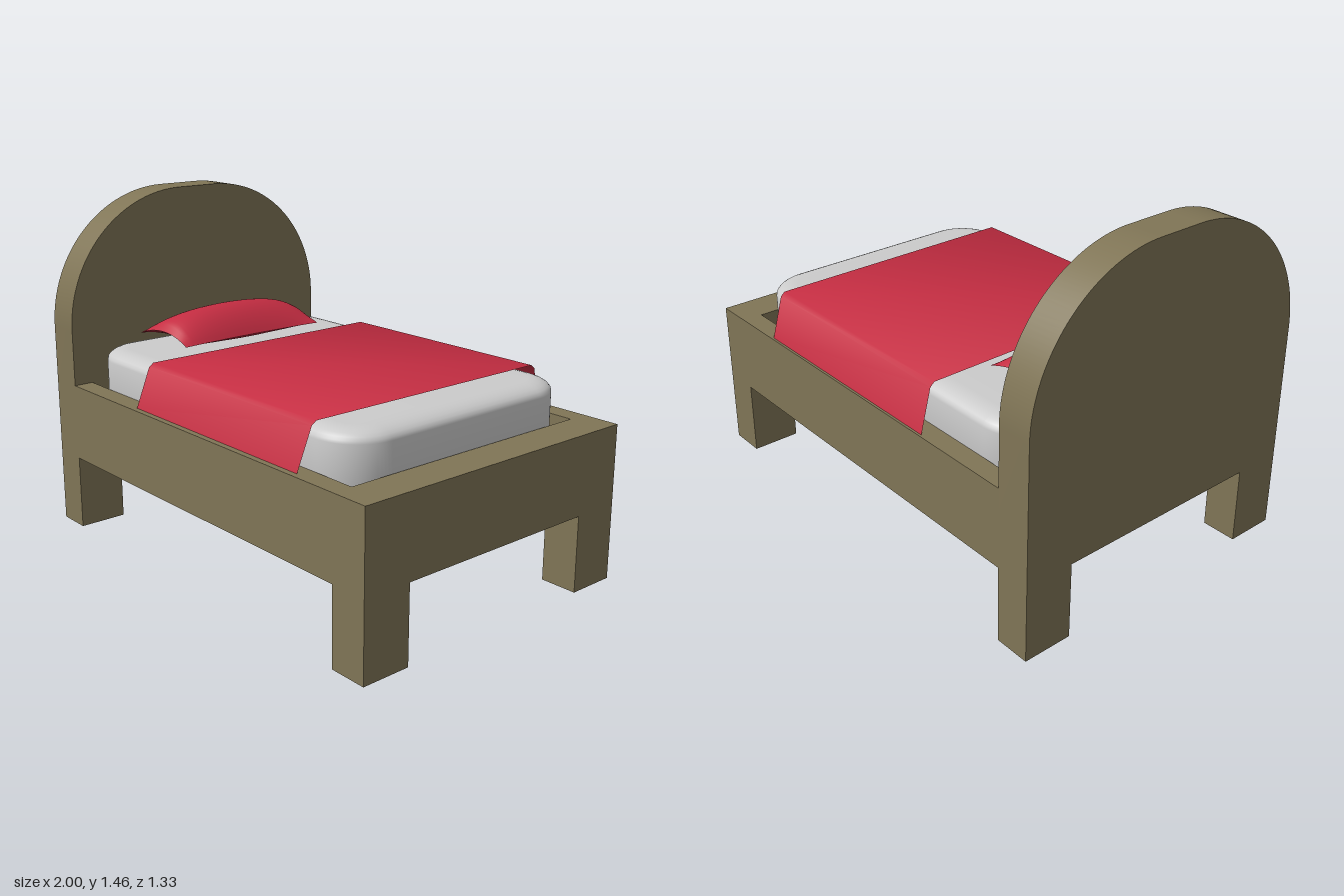
import * as THREE from 'three';
import { toCreasedNormals } from 'three/addons/utils/BufferGeometryUtils.js';

const wood = new THREE.MeshStandardMaterial({ color: 0x807556 });
const linen = new THREE.MeshStandardMaterial({ color: 0xcccccc });
const cloth = new THREE.MeshStandardMaterial({ color: 0xc52d42, side: THREE.DoubleSide });

function part(parent, name, geometry, material) {
  const mesh = new THREE.Mesh(geometry, material);
  mesh.name = name;
  parent.add(mesh);
  return mesh;
}

// Box given by its limits on each axis
function box(x0, x1, y0, y1, z0, z1) {
  return new THREE.BoxGeometry(x1 - x0, y1 - y0, z1 - z0)
    .translate((x0 + x1) / 2, (y0 + y1) / 2, (z0 + z1) / 2);
}

// Upward-facing grid; rule maps u, v in -1..1 to [x, y, z]
function sheet(nu, nv, rule) {
  const g = new THREE.PlaneGeometry(2, 2, nu, nv).rotateX(-Math.PI / 2);
  const p = g.attributes.position;
  for (let i = 0; i < p.count; i++) p.setXYZ(i, ...rule(p.getX(i), p.getZ(i)));
  g.computeVertexNormals();
  return g;
}

// Arched board with its two legs in one outline
function headboardGeometry() {
  const s = new THREE.Shape();
  s.moveTo(0.665, 0);
  s.lineTo(0.665, 0.89);
  s.absarc(0.095, 0.89, 0.57, 0, Math.PI / 2);
  s.absarc(-0.095, 0.89, 0.57, Math.PI / 2, Math.PI);
  s.lineTo(-0.665, 0);
  s.lineTo(-0.455, 0);
  s.lineTo(-0.455, 0.32);
  s.lineTo(0.455, 0.32);
  s.lineTo(0.455, 0);
  s.closePath();
  const g = new THREE.ExtrudeGeometry(s, { depth: 0.15, bevelEnabled: false, curveSegments: 20 });
  return toCreasedNormals(g.rotateY(Math.PI / 2).translate(-1, 0, 0), 0.5);
}

// U-shaped rim around the mattress, open towards the headboard
function rimGeometry() {
  const s = new THREE.Shape([
    [-0.85, -0.665], [1, -0.665], [1, 0.665], [-0.85, 0.665],
    [-0.85, 0.58], [0.84, 0.58], [0.84, -0.58], [-0.85, -0.58],
  ].map(([x, y]) => new THREE.Vector2(x, y)));
  return new THREE.ExtrudeGeometry(s, { depth: 0.1, bevelEnabled: false })
    .rotateX(-Math.PI / 2).translate(0, 0.55, 0);
}

// Rounded slab with a soft top edge
function mattressGeometry() {
  const x0 = -0.852, x1 = 0.836, z = 0.578, r = 0.19;
  const s = new THREE.Shape();
  s.absarc(x1 - r, z - r, r, 0, Math.PI / 2);
  s.absarc(x0 + r, z - r, r, Math.PI / 2, Math.PI);
  s.absarc(x0 + r, r - z, r, Math.PI, Math.PI * 1.5);
  s.absarc(x1 - r, r - z, r, Math.PI * 1.5, Math.PI * 2);
  const g = new THREE.ExtrudeGeometry(s, {
    depth: 0.165, bevelThickness: 0.045, bevelSize: 0.09, bevelOffset: -0.09,
    bevelSegments: 6, curveSegments: 10,
  });
  return toCreasedNormals(g.rotateX(-Math.PI / 2).translate(0, 0.605, 0), 0.9);
}

// Thin cover hanging down both sides, its hems drifting towards the headboard
function blanketGeometry() {
  const profile = [[-0.655, 0.65], [-0.592, 0.815], [-0.572, 0.83], [0.562, 0.83], [0.582, 0.815], [0.64, 0.65]];
  const g = sheet(1, profile.length - 1, (u, v) => {
    const [z, y] = profile[Math.round((v + 1) / 2 * (profile.length - 1))];
    const drift = (0.83 - y) / 0.18 * (z < 0 ? 0.025 : 0.012);
    return [0.127 + 0.51 * u - drift, y, z];
  });
  return toCreasedNormals(g, 0.75);
}

// One half of the pillow; height is signed, up for the top and down for the underside
function pillowHalf(height, power) {
  return sheet(24, 32, (u, v) => {
    const a = 1 - u * u, b = 1 - v * v;
    const seam = 0.848 + 0.035 * a * v * v;
    const x = -0.62 + 0.177 * u * (1 - 0.09 * b);
    const z = 0.36 * v * (1 - 0.02 * a);
    return [x, seam + height * Math.pow(a, power) * Math.pow(b, 0.6), z];
  });
}

export function createModel() {
  const model = new THREE.Group();
  model.name = 'bed';

  // Wooden frame
  const frame = new THREE.Group();
  frame.name = 'frame';
  model.add(frame);
  part(frame, 'headboard', headboardGeometry(), wood);
  part(frame, 'base', box(-0.85, 1, 0.32, 0.55, -0.665, 0.665), wood);
  part(frame, 'rim', rimGeometry(), wood);
  part(frame, 'leftFootLeg', box(0.84, 1, 0, 0.32, 0.455, 0.665), wood);
  part(frame, 'rightFootLeg', box(0.84, 1, 0, 0.32, -0.665, -0.455), wood);

  // Bedding
  part(model, 'mattress', mattressGeometry(), linen);
  part(model, 'blanket', blanketGeometry(), cloth);
  const pillow = new THREE.Group();
  pillow.name = 'pillow';
  model.add(pillow);
  part(pillow, 'pillowTop', pillowHalf(0.116, 0.95), cloth);
  part(pillow, 'pillowUnderside', pillowHalf(-0.032, 0.6), cloth);

  return model;
}
